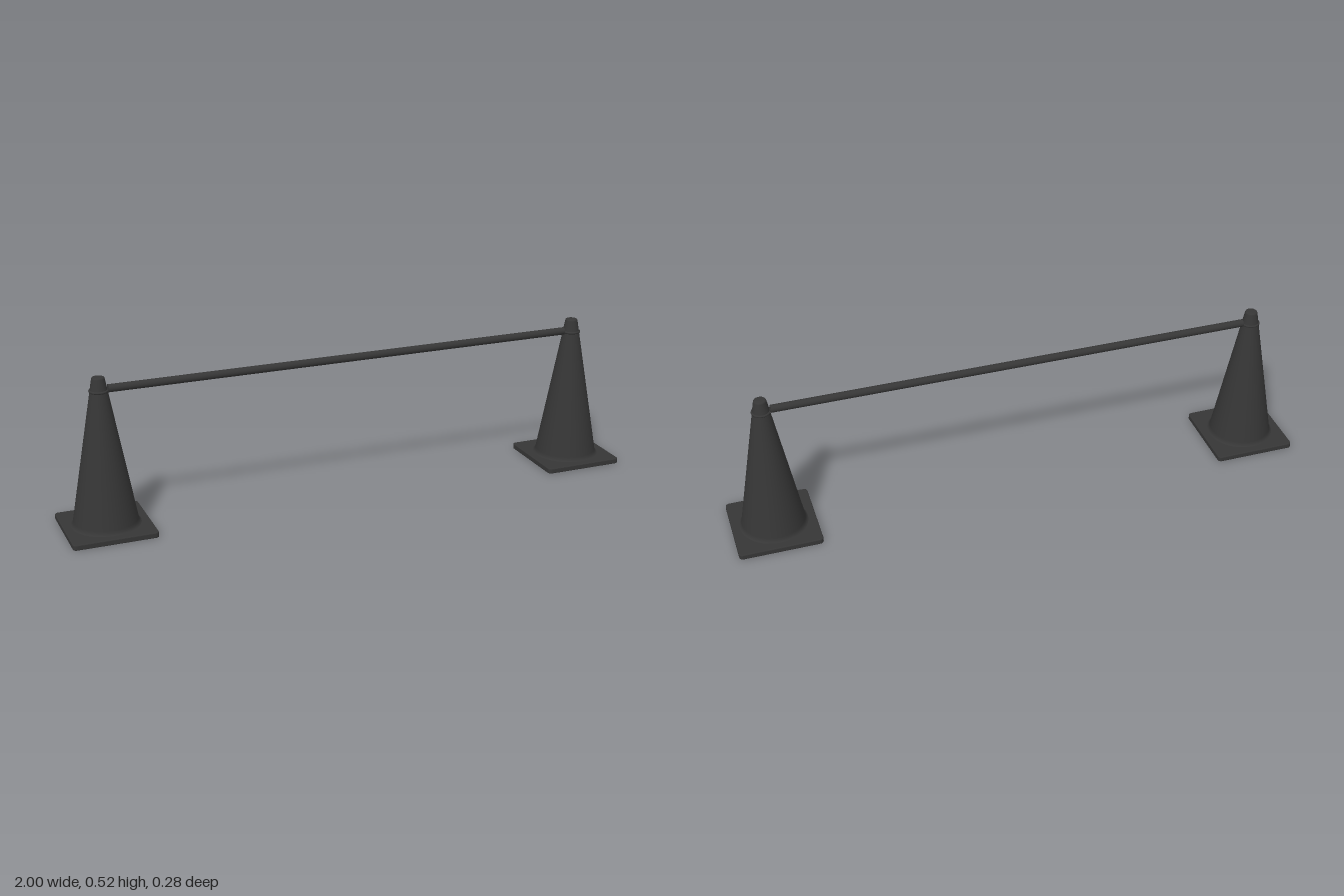
import * as THREE from 'three';

export function createModel() {
  const model = new THREE.Group();
  const material = new THREE.MeshStandardMaterial({ color: 0x363636 });
  const coneX = 0.858;

  const add = (parent, name, geometry, x = 0, y = 0) => {
    const mesh = new THREE.Mesh(geometry, material);
    mesh.name = name;
    mesh.position.set(x, y, 0);
    parent.add(mesh);
    return mesh;
  };

  // Square foot plate with rounded corners and softened edges
  const h = 0.139, r = 0.01;
  const plate = new THREE.Shape();
  plate.absarc(h - r, h - r, r, 0, Math.PI / 2);
  plate.absarc(r - h, h - r, r, Math.PI / 2, Math.PI);
  plate.absarc(r - h, r - h, r, Math.PI, Math.PI * 1.5);
  plate.absarc(h - r, r - h, r, Math.PI * 1.5, Math.PI * 2);
  plate.closePath();
  const plateGeometry = new THREE.ExtrudeGeometry(plate, {
    depth: 0.013, bevelEnabled: true, bevelThickness: 0.003, bevelSize: 0.003,
    bevelSegments: 2, curveSegments: 6,
  });
  plateGeometry.rotateX(-Math.PI / 2);
  plateGeometry.translate(0, 0.003, 0);

  // Tapered body: flared foot, straight side, rounded tip
  const profile = [
    [0.118, 0.018], [0.113, 0.0205], [0.109, 0.026], [0.107, 0.034],
    [0.0215, 0.518], [0.02, 0.5215], [0.017, 0.523], [0, 0.523],
  ].map(([x, y]) => new THREE.Vector2(x, y));
  const bodyGeometry = new THREE.LatheGeometry(profile, 48);

  // Collar ring that holds the bar
  const ringGeometry = new THREE.TorusGeometry(0.0285, 0.0042, 10, 48);
  ringGeometry.rotateX(Math.PI / 2);

  for (const side of [-1, 1]) {
    const cone = new THREE.Group();
    cone.name = side > 0 ? 'leftCone' : 'rightCone';
    cone.position.x = side * coneX;
    add(cone, 'footPlate', plateGeometry);
    add(cone, 'coneBody', bodyGeometry);
    add(cone, 'collarRing', ringGeometry, 0, 0.477);
    model.add(cone);
  }

  // Horizontal bar between the collars
  const bar = add(model, 'crossBar', new THREE.CylinderGeometry(0.0132, 0.0132, 1.655, 24), 0, 0.481);
  bar.rotation.z = Math.PI / 2;

  return model;
}
